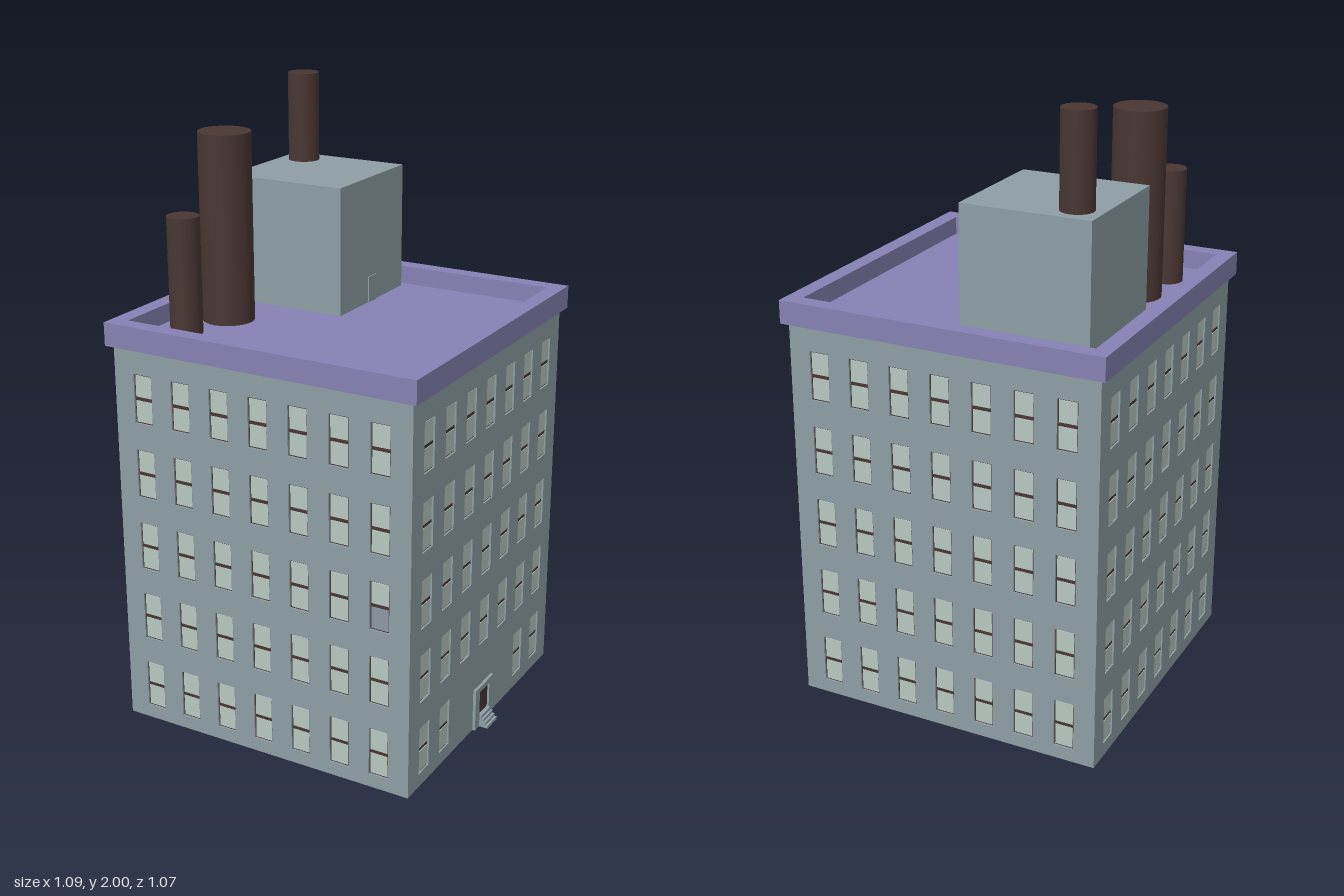
import * as THREE from 'three';

const mat = (color) => new THREE.MeshStandardMaterial({ color });
const stone = mat(0x8d9ea4), purple = mat(0x8681b3), brown = mat(0x493633), glass = mat(0xb6c8c0), openGlass = mat(0x8c98a2);

const CX = -0.013;      // the building sits slightly off centre, leaving room for the steps
const HALF = 0.517, WALL = 0.008, HEIGHT = 1.28;
const WIN_W = 0.066, WIN_H = 0.16, ROWS = 5, COLS = 7;

function add(parent, name, geometry, material, x = 0, y = 0, z = 0) {
  const mesh = new THREE.Mesh(geometry, material);
  mesh.name = name;
  mesh.position.set(x, y, z);
  parent.add(mesh);
  return mesh;
}

// Box given by its two opposite corners
function block(parent, name, material, [x0, y0, z0], [x1, y1, z1]) {
  return add(parent, name, new THREE.BoxGeometry(x1 - x0, y1 - y0, z1 - z0), material,
    (x0 + x1) / 2, (y0 + y1) / 2, (z0 + z1) / 2);
}

function rectPath(path, x0, y0, x1, y1) {
  path.moveTo(x0, y0).lineTo(x1, y0).lineTo(x1, y1).lineTo(x0, y1).closePath();
  return path;
}

// Sash window: dark frame behind two panes, split by a dark bar
function makeWindow(x, y, open) {
  const win = new THREE.Group();
  win.name = 'window';
  win.position.set(x, y, HALF - WALL);
  add(win, 'windowFrame', new THREE.BoxGeometry(WIN_W, WIN_H, 0.004), brown);
  const pane = new THREE.BoxGeometry(WIN_W - 0.008, WIN_H / 2 - 0.01, 0.004);
  add(win, 'upperPane', pane, glass, 0, WIN_H / 4 + 0.001, 0.002);
  add(win, 'lowerPane', pane, open ? openGlass : glass, 0, -WIN_H / 4 - 0.001, 0.002);
  return win;
}

// One outer wall with window openings, facing +z before it is turned
function makeFacade(name, angle, hasDoor, hasOpenWindow) {
  const facade = new THREE.Group();
  facade.name = name;
  const shape = rectPath(new THREE.Shape(), -HALF, 0, HALF, HEIGHT);
  for (let row = 0; row < ROWS; row++) {
    for (let col = 0; col < COLS; col++) {
      if (hasDoor && row === 0 && col > 1 && col < 5) continue;
      const x = (col - 3) * 0.138, y = 0.125 + row * 0.2485;
      shape.holes.push(rectPath(new THREE.Path(),
        x - WIN_W / 2, y - WIN_H / 2, x + WIN_W / 2, y + WIN_H / 2));
      facade.add(makeWindow(x, y, hasOpenWindow && row === 2 && col === 6));
    }
  }
  add(facade, 'wall', new THREE.ExtrudeGeometry(shape, { depth: WALL, bevelEnabled: false }),
    stone, 0, 0, HALF - WALL);
  facade.rotation.y = angle;
  facade.position.x = CX;
  return facade;
}

function makeChimney(parent, x, z, radius, bottom, top) {
  add(parent, 'chimney', new THREE.CylinderGeometry(radius, radius, top - bottom, 32), brown,
    x, (bottom + top) / 2, z);
}

export function createModel() {
  const model = new THREE.Group();
  model.name = 'apartmentBuilding';

  // Body and the four walls
  const core = HALF - WALL;
  block(model, 'core', stone, [CX - core, 0, -core], [CX + core, HEIGHT, core]);
  ['front', 'right', 'back', 'left'].forEach((side, i) =>
    model.add(makeFacade(side + 'Facade', i * Math.PI / 2, side === 'right', side === 'front')));

  // Roof: overhanging parapet ring around a sunken floor
  const ring = rectPath(new THREE.Shape(), -0.536, -0.536, 0.536, 0.536);
  ring.holes.push(rectPath(new THREE.Path(), -0.483, -0.483, 0.483, 0.483));
  const parapet = new THREE.ExtrudeGeometry(ring, { depth: 0.075, bevelEnabled: false });
  parapet.rotateX(-Math.PI / 2);
  add(model, 'parapet', parapet, purple, CX, HEIGHT, 0);
  const floor = 1.295;
  block(model, 'roofFloor', purple, [CX - 0.485, HEIGHT, -0.485], [CX + 0.485, floor, 0.485]);

  // Rooftop stair house with its small door
  block(model, 'stairHouse', stone, [-0.465, floor, -0.456], [-0.052, 1.71, -0.043]);
  block(model, 'stairHouseDoor', stone, [-0.053, floor, -0.272], [-0.048, 1.382, -0.224]);

  // Chimneys
  makeChimney(model, -0.383, -0.373, 0.051, 1.71, 2.0);
  makeChimney(model, -0.349, 0.153, 0.083, floor, 1.895);
  makeChimney(model, -0.382, 0.338, 0.051, floor, 1.665);

  // Entrance: surround with an opening, door set inside, steps in front
  const wallX = CX + HALF;
  const surround = rectPath(new THREE.Shape(), -0.066, 0, 0.066, 0.145);
  surround.holes.push(rectPath(new THREE.Path(), -0.036, 0.04, 0.036, 0.127));
  const frame = new THREE.ExtrudeGeometry(surround, { depth: 0.01, bevelEnabled: false });
  frame.rotateY(Math.PI / 2);
  add(model, 'doorSurround', frame, stone, wallX, 0, 0);
  block(model, 'frontDoor', brown, [wallX - 0.004, 0.04, -0.036], [wallX + 0.003, 0.127, 0.036]);
  for (let i = 0; i < 4; i++) {
    block(model, 'step', stone, [wallX, i * 0.01, -0.035], [0.545 - i * 0.008, (i + 1) * 0.01, 0.035]);
  }
  return model;
}
